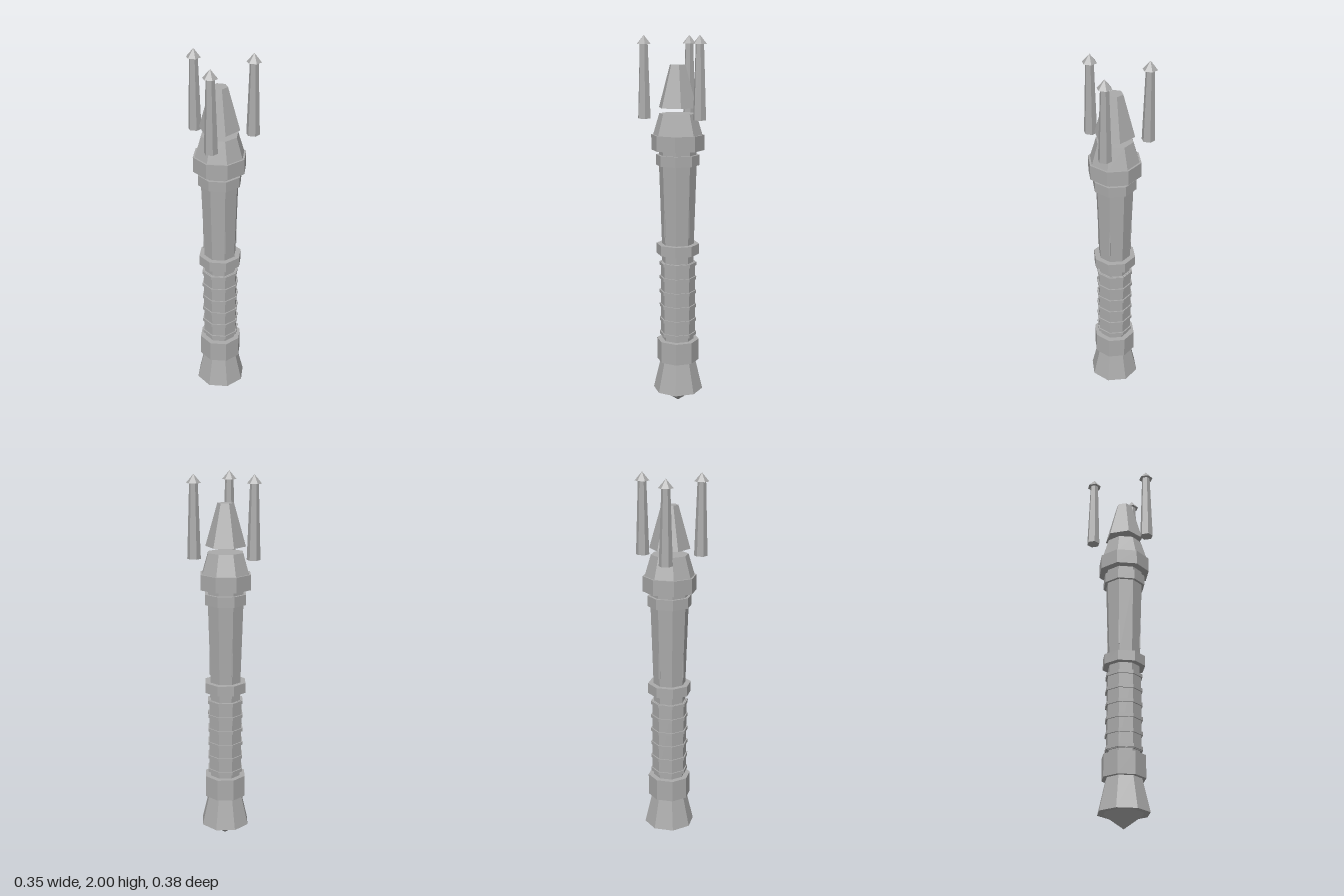
import * as THREE from 'three';

export function createModel() {
  const model = new THREE.Group();
  const metal = new THREE.MeshStandardMaterial({ color: 0xaaaaaa, flatShading: true });
  metal.name = 'grey metal';

  const staff = new THREE.Group();
  staff.name = 'staff';
  staff.position.x = -0.035;
  model.add(staff);

  // A faceted section between two heights, with bottom and top radii
  function section(name, y0, y1, r0, r1 = r0, sides = 8, parent = staff) {
    const geo = new THREE.CylinderGeometry(r1, r0, y1 - y0, sides);
    const mesh = new THREE.Mesh(geo, metal);
    mesh.name = name;
    mesh.position.y = (y0 + y1) / 2;
    parent.add(mesh);
    return mesh;
  }

  // Pommel
  section('pommelTip', 0.005, 0.085, 0, 0.11);
  section('pommelFlare', 0.08, 0.25, 0.135, 0.095);
  section('pommelCollar', 0.25, 0.368, 0.115);

  // Grip with raised bands
  section('gripCore', 0.368, 0.85, 0.085);
  section('grip', 0.39, 0.805, 0.093);
  for (let i = 0; i < 6; i++) {
    const y = 0.402 + i * 0.0785;
    section('gripBand', y - 0.009, y + 0.009, 0.1);
  }

  // Shaft between two rings
  section('lowerRing', 0.85, 0.905, 0.115);
  section('shaft', 0.905, 1.33, 0.086, 0.1);
  section('upperRing', 1.33, 1.385, 0.115);

  // Thin ridges on the four main shaft corners
  for (let i = 0; i < 4; i++) {
    const a = (i * Math.PI) / 2;
    const ridge = new THREE.Mesh(new THREE.BoxGeometry(0.008, 0.18, 0.02), metal);
    ridge.name = 'shaftRidge';
    ridge.position.set(Math.sin(a) * 0.081, 1.04, Math.cos(a) * 0.081);
    ridge.rotation.y = a;
    staff.add(ridge);
  }

  // Head
  section('neck', 1.385, 1.41, 0.1);
  section('headRing', 1.41, 1.49, 0.14);
  section('headTaper', 1.49, 1.6, 0.13, 0.097);

  // Floating crystal
  section('crystal', 1.63, 1.85, 0.105, 0.043, 6);

  // Three floating prongs with pointed caps
  for (let i = 0; i < 3; i++) {
    const a = (i * Math.PI * 2) / 3;
    const prong = new THREE.Group();
    prong.name = 'prong';
    prong.position.set(Math.cos(a) * 0.175, 0, Math.sin(a) * 0.175);
    section('prongShaft', 1.577, 1.955, 0.035, 0.022, 6, prong);
    section('prongTip', 1.955, 2.0, 0.038, 0, 6, prong);
    staff.add(prong);
  }

  return model;
}
